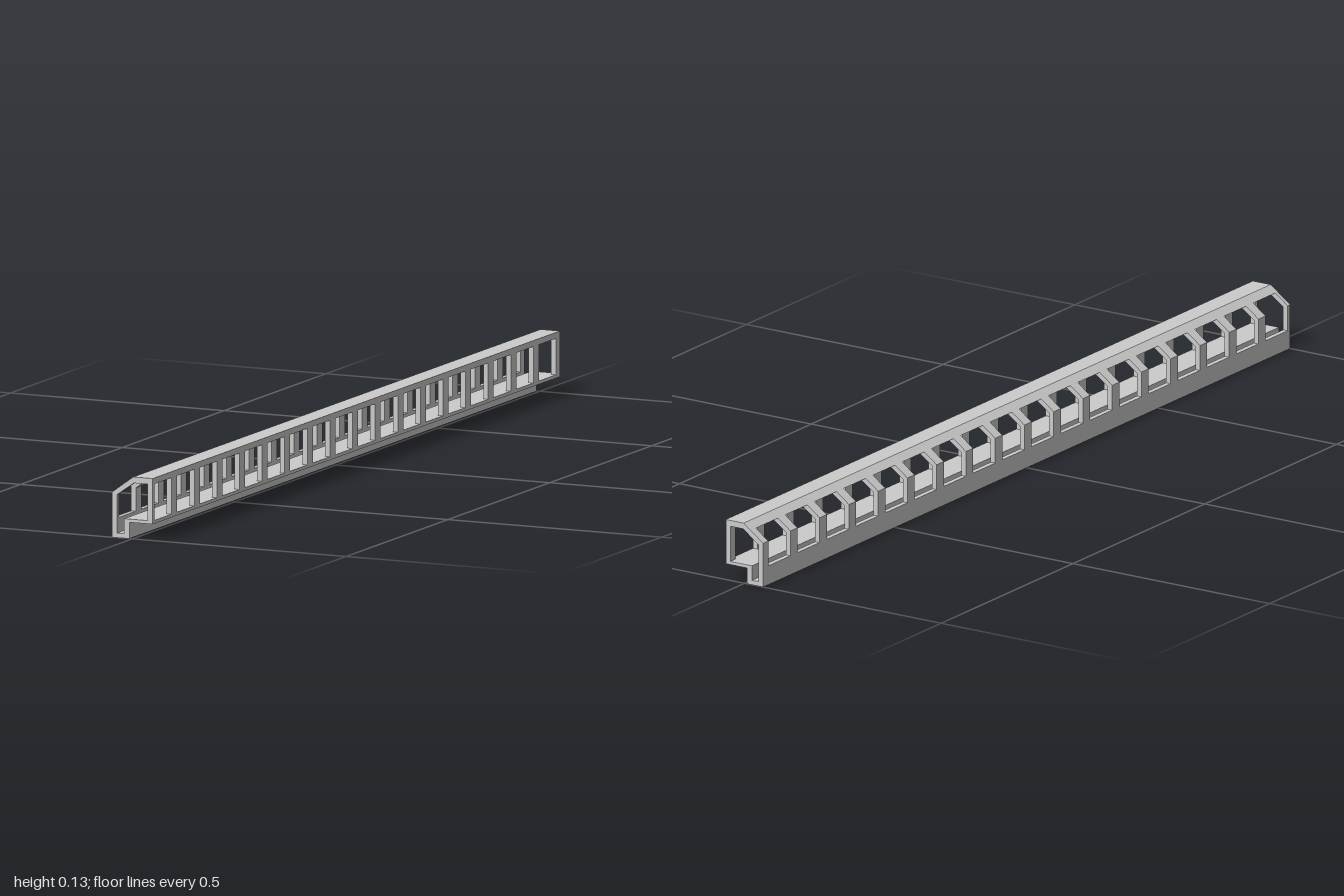
import * as THREE from 'three';

const material = new THREE.MeshStandardMaterial({ color: 0xcccccc, flatShading: true });

// Extrudes an x-y cross-section between two z positions
function bar(name, points, z0, z1) {
  const shape = new THREE.Shape(points.map(([x, y]) => new THREE.Vector2(x, y)));
  const geometry = new THREE.ExtrudeGeometry(shape, { depth: z1 - z0, bevelEnabled: false });
  geometry.translate(0, 0, z0);
  const mesh = new THREE.Mesh(geometry, material);
  mesh.name = name;
  return mesh;
}

export function createModel() {
  const group = new THREE.Group();
  group.name = 'slottedRail';

  const LEFT = 0.0475, floorY = 0.042, ceilY = 0.12;

  // Floor with the narrow channel below it
  group.add(bar('lowerChannel', [
    [-LEFT, 0], [-0.007, 0], [-0.007, 0.035], [LEFT, 0.035], [LEFT, floorY],
    [-0.019, floorY], [-0.019, 0.01], [-0.036, 0.01], [-0.036, floorY], [-LEFT, floorY],
  ], -1, 1));

  // Top strip with its sloping edge
  group.add(bar('topStrip', [
    [-0.016, ceilY], [LEFT, ceilY], [LEFT, 0.133], [0.002, 0.133],
  ], -1, 1));

  // Ribs fill the gaps between evenly spaced windows
  const windows = 18, pitch = 0.111, half = 0.042, shift = 0.005;
  const centre = (i) => shift + (i - (windows - 1) / 2) * pitch;
  for (let i = 0; i <= windows; i++) {
    const z0 = i === 0 ? -1 : centre(i - 1) + half;
    const z1 = i === windows ? 1 : centre(i) - half;
    const rib = new THREE.Group();
    rib.name = `rib${i + 1}`;
    rib.add(bar('straightPost', [
      [0.036, floorY], [LEFT, floorY], [LEFT, ceilY], [0.036, ceilY],
    ], z0, z1));
    rib.add(bar('bentPost', [
      [-LEFT, floorY], [-0.036, floorY], [-0.036, 0.092], [0.004, ceilY],
      [-0.016, ceilY], [-LEFT, 0.097],
    ], z0, z1));
    group.add(rib);
  }
  return group;
}
